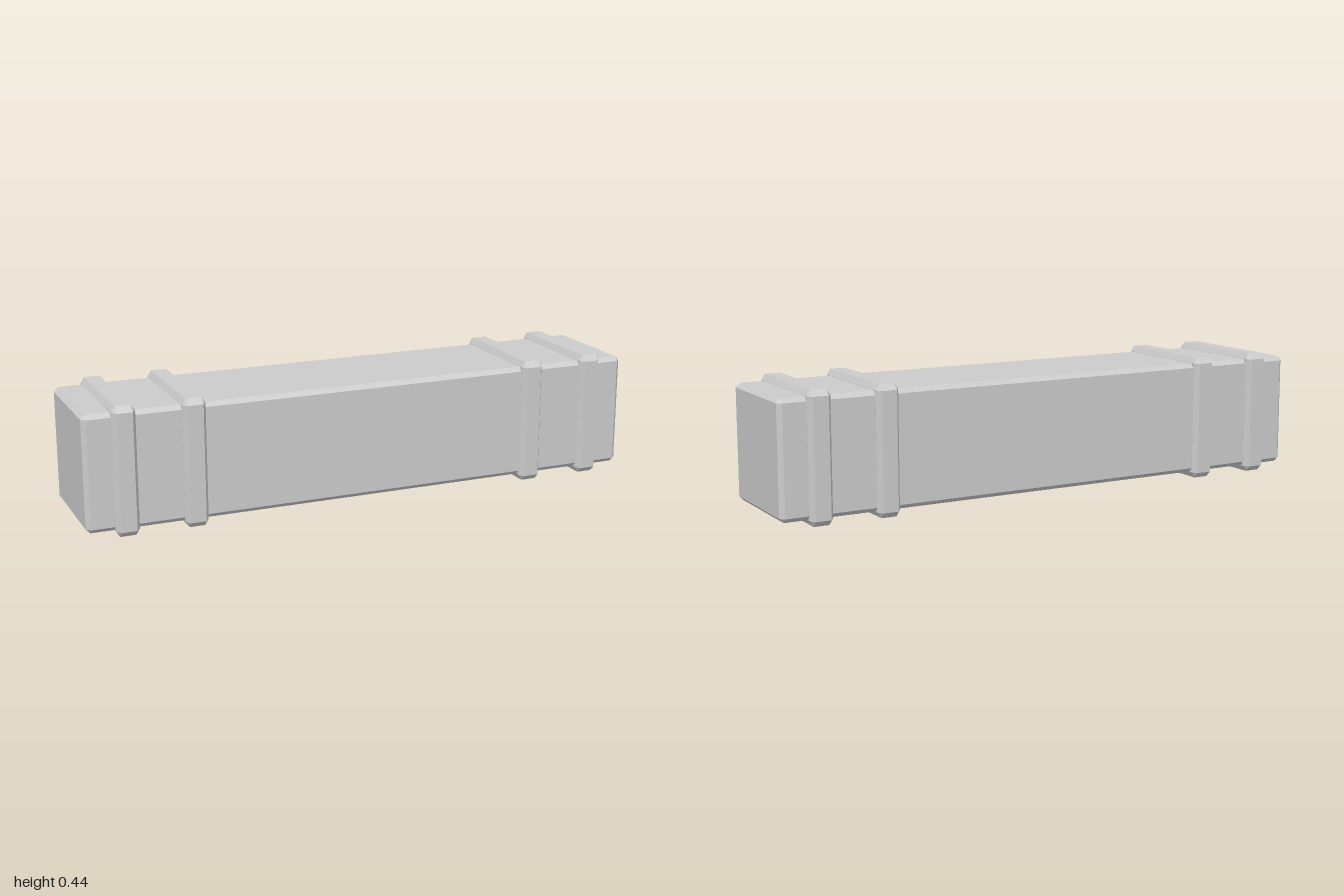
import * as THREE from 'three';
import { ConvexGeometry } from 'three/addons/geometries/ConvexGeometry.js';

const material = new THREE.MeshStandardMaterial({ color: 0xcccccc, flatShading: true });
const CENTRE_Y = 0.221;

// Box with flat chamfers: half length hx, square half section h,
// chamfer cx along the length and c across the section
function chamferedBox(hx, h, cx, c) {
  const points = [];
  for (const x of [-1, 1]) for (const y of [-1, 1]) for (const z of [-1, 1]) {
    points.push(
      new THREE.Vector3(x * hx, y * (h - c), z * (h - c)),
      new THREE.Vector3(x * (hx - cx), y * h, z * (h - c)),
      new THREE.Vector3(x * (hx - cx), y * (h - c), z * h)
    );
  }
  return new ConvexGeometry(points);
}

export function createModel() {
  const group = new THREE.Group();
  group.name = 'bandedBeam';

  const add = (name, geometry, x) => {
    const mesh = new THREE.Mesh(geometry, material);
    mesh.name = name;
    mesh.position.set(x, CENTRE_Y, 0);
    group.add(mesh);
  };

  // Long square beam
  add('beam', chamferedBox(1, 0.2, 0.015, 0.015), 0);

  // Two raised bands near each end
  const band = chamferedBox(0.04, 0.221, 0.013, 0.02);
  for (const [side, s] of [['left', 1], ['right', -1]]) {
    add(side + 'OuterBand', band, s * 0.864);
    add(side + 'InnerBand', band, s * 0.628);
  }
  return group;
}
